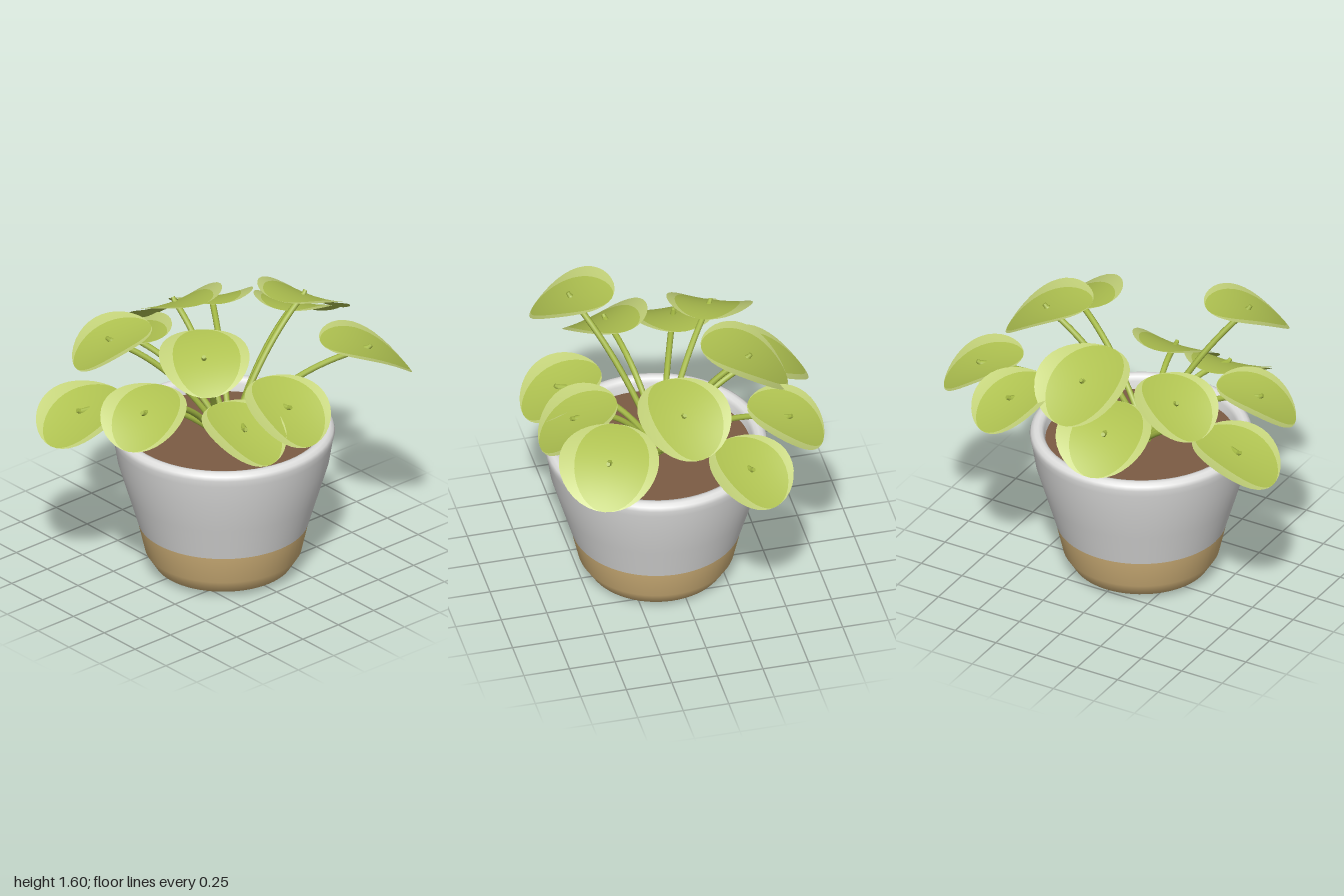
import * as THREE from 'three';

const mat = (name, color) => {
  const m = new THREE.MeshStandardMaterial({ color });
  m.name = name;
  return m;
};
const glaze = mat('white glaze', 0xdfdfde);
const clay = mat('bare clay', 0xd6b67c);
const earth = mat('soil brown', 0x7c5c44);
const leafGreen = mat('leaf green', 0xb0c351);
const edgeGreen = mat('pale leaf edge', 0xc4d37a);
const stemGreen = mat('stem green', 0xa4b944);

const POT = { x: -0.015, z: 0.085 };
const SOIL_Y = 0.78;

function add(parent, name, geometry, material) {
  const mesh = new THREE.Mesh(geometry, material);
  mesh.name = name;
  parent.add(mesh);
  return mesh;
}

const lathe = (pts) => new THREE.LatheGeometry(pts.map(([r, y]) => new THREE.Vector2(r, y)), 64);

// Round saddle-shaped blade: x points outward, z sideways, y is its normal.
// Columns follow the outline so the two side strips become pale crescents.
function bladeGeometry(under) {
  const cols = [-1, -0.9, -0.8, -0.4, 0, 0.4, 0.69, 0.85, 1];
  const rows = 18, droop = 0.16, lift = 0.11, sign = under ? -1 : 1;
  const pos = [], nor = [], idx = [];
  for (const s of cols) {
    for (let i = 0; i <= rows; i++) {
      const t = (Math.PI * i) / rows;
      const u = -Math.cos(t), v = s * Math.sin(t);
      pos.push(u, -droop * u * u + lift * v * v - (under ? 0.03 : 0), v);
      const n = new THREE.Vector3(2 * droop * u, 1, -2 * lift * v).normalize().multiplyScalar(sign);
      nor.push(n.x, n.y, n.z);
    }
  }
  const g = new THREE.BufferGeometry();
  for (let c = 0; c < cols.length - 1; c++) {
    const start = idx.length;
    for (let i = 0; i < rows; i++) {
      const a = c * (rows + 1) + i, b = a + rows + 1;
      if (under) idx.push(a, a + 1, b, b, a + 1, b + 1);
      else idx.push(a, b, a + 1, b, b + 1, a + 1);
    }
    const pale = !under && (c < 2 || c > 5);
    g.addGroup(start, idx.length - start, pale ? 1 : 0);
  }
  g.setAttribute('position', new THREE.Float32BufferAttribute(pos, 3));
  g.setAttribute('normal', new THREE.Float32BufferAttribute(nor, 3));
  g.setIndex(idx);
  return g;
}

// Joint x, y, z of each leaf with its stem, radius, sine of its tilt, and the
// heading it leans to in degrees (0 = +x, 90 = +z)
const LEAVES = [
  [0.065, 1.37, -0.4, 0.265, 0.48, -85],
  [0.435, 1.22, -0.53, 0.228, 0.44, -64],
  [-0.155, 1.185, -0.55, 0.258, 0.4, -100],
  [-0.775, 1.075, -0.2, 0.25, 0.38, 179],
  [0.785, 1.18, -0.24, 0.235, 0.42, -28],
  [0.56, 1.43, 0.075, 0.256, 0.42, -14],
  [0.64, 1.25, 0.505, 0.268, 0.41, 20],
  [0.04, 1.11, 0.545, 0.242, 0.5, 90],
  [-0.275, 1.09, 0.555, 0.238, 0.42, 84],
  [-0.465, 1.54, 0.445, 0.242, 0.37, 125],
  [-0.675, 1.185, 0.2, 0.235, 0.43, 157],
  [-0.465, 1.35, -0.32, 0.232, 0.42, -156],
];

export function createModel() {
  const model = new THREE.Group();
  model.name = 'pottedPlant';

  // Pot: bare clay foot, glazed wall with a rolled rim, soil
  const pot = new THREE.Group();
  pot.name = 'pot';
  pot.position.set(POT.x, 0, POT.z);
  model.add(pot);
  add(pot, 'clayFoot', lathe([[0, 0], [0.28, 0.003], [0.368, 0.035], [0.418, 0.115], [0.455, 0.277]]), clay);
  add(pot, 'glazedWall', lathe([
    [0.455, 0.277], [0.512, 0.47], [0.565, 0.65], [0.585, 0.775], [0.595, 0.815], [0.588, 0.838],
    [0.57, 0.851], [0.55, 0.854], [0.53, 0.846], [0.517, 0.825], [0.51, SOIL_Y - 0.02],
  ]), glaze);
  const soil = add(pot, 'soil', new THREE.CircleGeometry(0.512, 64), earth);
  soil.rotation.x = -Math.PI / 2;
  soil.position.y = SOIL_Y;

  // Leaves share one upper and one lower surface
  const upper = bladeGeometry(false), lower = bladeGeometry(true);
  for (const [x, y, z, r, tilt, heading] of LEAVES) {
    const angle = THREE.MathUtils.degToRad(heading);
    const ca = Math.cos(angle), sa = Math.sin(angle);
    const flat = Math.sqrt(1 - tilt * tilt);
    const tip = new THREE.Vector3(x, y, z);

    // Leaf tilted along its heading
    const out = new THREE.Vector3(flat * ca, -tilt, flat * sa);
    const up = new THREE.Vector3(tilt * ca, flat, tilt * sa);
    const side = new THREE.Vector3().crossVectors(out, up);
    const leaf = new THREE.Group();
    leaf.name = 'leaf';
    leaf.quaternion.setFromRotationMatrix(new THREE.Matrix4().makeBasis(out, up, side));
    leaf.position.copy(tip);
    leaf.scale.setScalar(r);
    add(leaf, 'leafTop', upper, [leafGreen, edgeGreen]);
    add(leaf, 'leafUnderside', lower, [leafGreen, edgeGreen]);
    model.add(leaf);

    // Arching stem, rooted in a small swirl in the middle of the soil
    const root = Math.atan2(z - 0.09, x) + Math.PI / 2;
    const base = new THREE.Vector3(-0.015 + 0.035 * Math.cos(root), SOIL_Y - 0.03, 0.09 + 0.035 * Math.sin(root));
    const bend = base.clone().lerp(tip, 0.4);
    bend.y = base.y + 0.28 + 0.28 * (y - base.y);
    const path = new THREE.QuadraticBezierCurve3(base, bend, tip);
    add(model, 'stem', new THREE.TubeGeometry(path, 16, 0.0165, 8), stemGreen);

    // Stem end showing through the leaf
    const dir = path.getTangent(1).add(up).normalize();
    const nub = add(model, 'stemTip', new THREE.CylinderGeometry(0.011, 0.016, 0.05, 8), stemGreen);
    nub.position.copy(tip);
    nub.quaternion.setFromUnitVectors(new THREE.Vector3(0, 1, 0), dir);
  }
  return model;
}
